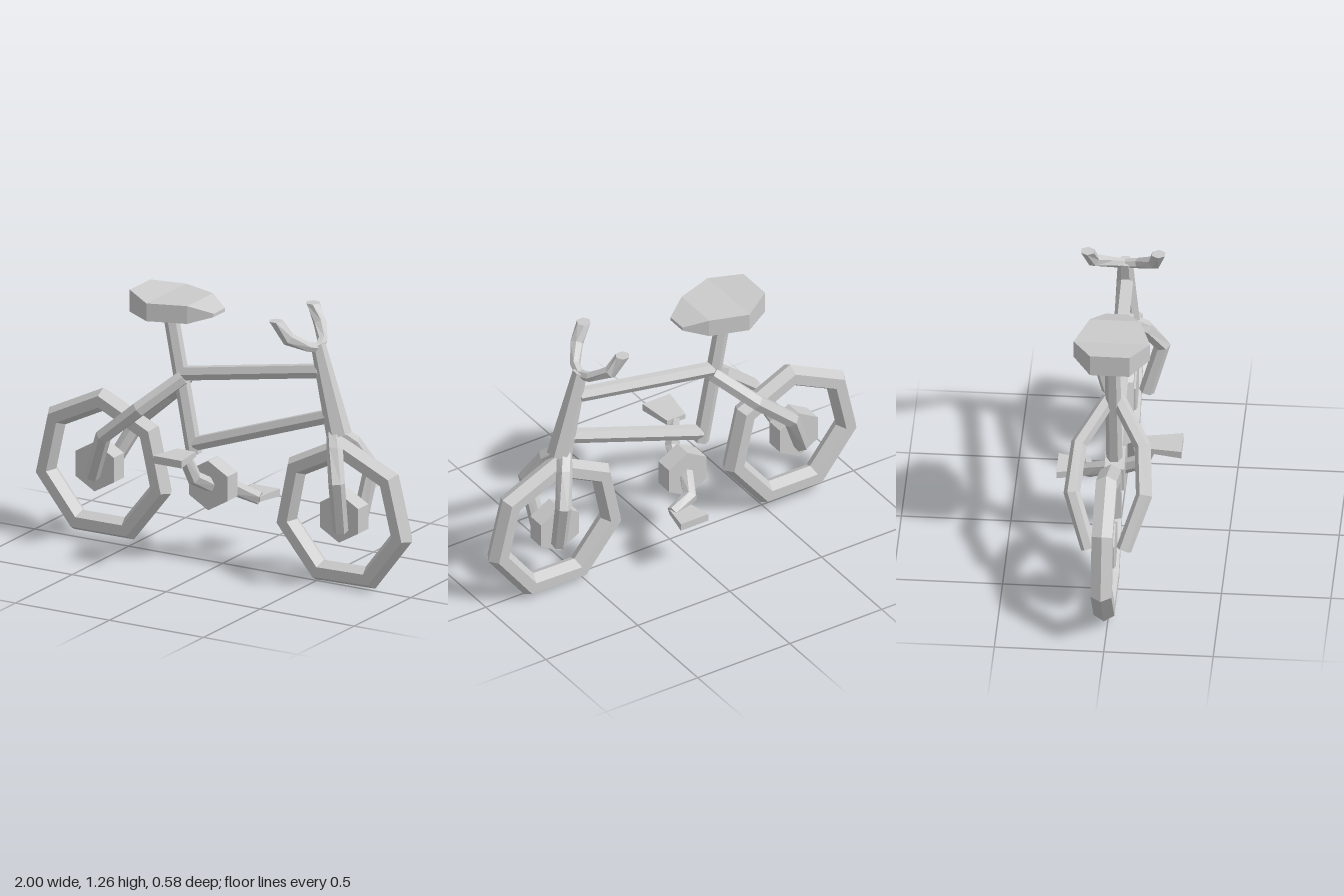
import * as THREE from 'three';

const material = new THREE.MeshStandardMaterial({ color: 0xcccccc, flatShading: true });
const X = new THREE.Vector3(1, 0, 0);
const Y = new THREE.Vector3(0, 1, 0);
const Z = new THREE.Vector3(0, 0, 1);

function part(name, geometry) {
  const mesh = new THREE.Mesh(geometry, material);
  mesh.name = name;
  return mesh;
}

// Skins a row of equal-length rings (counter-clockwise about the path) and caps both ends
function loft(rings) {
  const count = rings[0].length;
  const index = [];
  for (let i = 0; i < rings.length - 1; i++) {
    for (let j = 0; j < count; j++) {
      const k = (j + 1) % count;
      const a = i * count + j, b = i * count + k;
      index.push(a, b, a + count, b, b + count, a + count);
    }
  }
  const last = (rings.length - 1) * count;
  for (let j = 1; j < count - 1; j++) {
    index.push(0, j + 1, j, last, last + j, last + j + 1);
  }
  const geometry = new THREE.BufferGeometry();
  geometry.setAttribute('position', new THREE.Float32BufferAttribute(rings.flat(2), 3));
  geometry.setIndex(index);
  const flat = geometry.toNonIndexed();
  flat.computeVertexNormals();
  return flat;
}

// Hexagonal bar along [x, y, z, radius] stations; one corner faces ref
function bar(stations, ref = Z, endDir = null) {
  const points = stations.map(s => new THREE.Vector3(s[0], s[1], s[2]));
  const lastIndex = points.length - 1;
  return loft(points.map((p, i) => {
    const t = new THREE.Vector3();
    if (i > 0) t.add(p.clone().sub(points[i - 1]).normalize());
    if (i < lastIndex) t.add(points[i + 1].clone().sub(p).normalize());
    if (i === lastIndex && endDir) t.copy(endDir);
    t.normalize();
    const n = ref.clone().addScaledVector(t, -ref.dot(t)).normalize();
    const b = t.clone().cross(n);
    return Array.from({ length: 6 }, (_, j) => {
      const angle = j * Math.PI / 3;
      return p.clone()
        .addScaledVector(n, stations[i][3] * Math.cos(angle))
        .addScaledVector(b, stations[i][3] * Math.sin(angle))
        .toArray();
    });
  }));
}

// Two bars mirrored across the centre plane
function barPair(name, stations, ref, endDir) {
  const pair = new THREE.Group();
  pair.name = name + 's';
  for (const side of [1, -1]) {
    const path = stations.map(([x, y, z, r]) => [x, y, z * side, r]);
    pair.add(part(name + (side > 0 ? 'Front' : 'Back'), bar(path, ref, endDir)));
  }
  return pair;
}

// Six-sided disc with its axis along z
function hub(name, x, y) {
  const disc = part(name, new THREE.CylinderGeometry(0.118, 0.118, 0.09, 6).rotateX(Math.PI / 2));
  disc.position.set(x, y, 0);
  return disc;
}

function wheel(name, x, y, turn) {
  const tyre = part(name, new THREE.TorusGeometry(0.313, 0.055, 6, 7).rotateZ(Math.PI / 2 + turn));
  tyre.position.set(x, y, 0);
  return tyre;
}

// Wedge that widens away from the bike
function pedal(name, x, y, zInner, zOuter) {
  const ring = (hx, hy, z) => [[hx, -hy], [hx, hy], [-hx, hy], [-hx, -hy]]
    .map(([dx, dy]) => [x + dx, y + dy, z]);
  const rings = [ring(0.05, 0.012, zInner), ring(0.075, 0.018, zOuter)];
  return part(name, loft(zOuter > zInner ? rings : rings.reverse()));
}

export function createModel() {
  const bike = new THREE.Group();
  bike.name = 'bicycle';

  // Wheels and hubs
  bike.add(
    wheel('rearWheel', -0.643, 0.367, 0.005),
    wheel('frontWheel', 0.636, 0.34, 0.02),
    hub('rearHub', -0.664, 0.366),
    hub('frontHub', 0.636, 0.334),
    hub('crankHub', -0.06, 0.375),
  );

  // Frame tubes
  bike.add(
    part('seatTube', bar([[-0.292, 1.18, 0, 0.035], [-0.16, 0.5, 0, 0.037]])),
    part('topTube', bar([[-0.225, 0.873, 0, 0.035], [0.51, 1.005, 0, 0.035]])),
    part('downTube', bar([[-0.155, 0.548, 0, 0.035], [0.56, 0.798, 0, 0.035]])),
    part('headTube', bar([[0.498, 1.13, 0, 0.034], [0.61, 0.715, 0, 0.059]])),
  );

  // Bowed rear stays and front fork
  bike.add(
    barPair('rearStay', [
      [-0.21, 0.86, 0.02, 0.036], [-0.37, 0.715, 0.145, 0.038],
      [-0.545, 0.565, 0.165, 0.038], [-0.655, 0.335, 0.08, 0.036],
    ]),
    barPair('forkLeg', [
      [0.595, 0.72, 0.02, 0.036], [0.635, 0.665, 0.08, 0.038],
      [0.69, 0.535, 0.155, 0.038], [0.668, 0.29, 0.085, 0.036],
    ]),
  );

  // Handlebar halves, thickening toward level-cut grips
  bike.add(barPair('handlebar', [
    [0.5, 1.115, 0, 0.022], [0.485, 1.13, 0.06, 0.024],
    [0.425, 1.18, 0.14, 0.032], [0.372, 1.265, 0.162, 0.034],
  ], X, Y));

  // Saddle: sections from tail to nose as [x, half width, top, bottom]
  const saddle = [
    [-0.45, 0.09, 1.26, 1.155], [-0.31, 0.175, 1.24, 1.155],
    [-0.13, 0.115, 1.24, 1.155], [-0.027, 0.05, 1.203, 1.187],
  ];
  bike.add(part('saddle', loft(saddle.map(([x, w, top, low]) =>
    [[x, top, -w], [x, top, w], [x, low, w], [x, low, -w]]))));

  // Cranks and pedals
  bike.add(
    part('crankFront', bar([
      [-0.055, 0.375, 0.03, 0.034], [-0.085, 0.43, 0.125, 0.036], [-0.118, 0.55, 0.165, 0.032],
    ], X)),
    part('crankBack', bar([
      [-0.06, 0.375, -0.03, 0.034], [-0.015, 0.32, -0.13, 0.036], [0.095, 0.285, -0.155, 0.032],
    ], Y)),
    pedal('pedalFront', -0.118, 0.549, 0.14, 0.308),
    pedal('pedalBack', 0.054, 0.286, -0.14, -0.276),
  );

  bike.position.z = -0.015;
  const model = new THREE.Group();
  model.name = 'bicycleModel';
  model.add(bike);
  return model;
}
